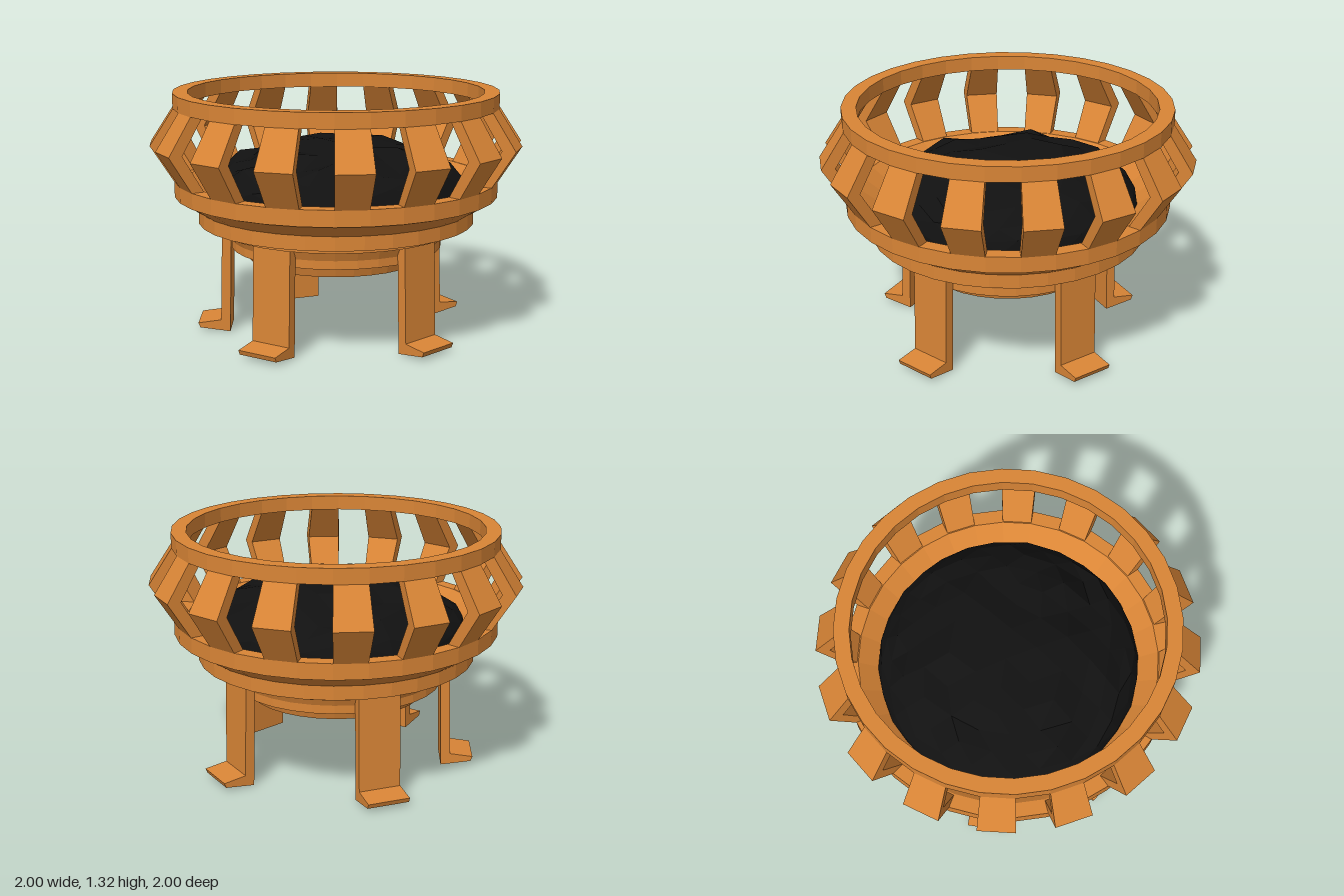
import * as THREE from 'three';

const SIDES = 32;
const STEP = (Math.PI * 2) / SIDES;
const points = (list) => list.map(([x, y]) => new THREE.Vector2(x, y));

export function createModel() {
  const model = new THREE.Group();
  model.name = 'fireBowl';
  const copper = new THREE.MeshStandardMaterial({ color: 0xd98536, flatShading: true });
  const black = new THREE.MeshStandardMaterial({ color: 0x111111, flatShading: true });

  const add = (name, geometry, material = copper) => {
    const mesh = new THREE.Mesh(geometry, material);
    mesh.name = name;
    model.add(mesh);
    return mesh;
  };
  const turned = (profile) => new THREE.LatheGeometry(points(profile), SIDES);

  // Stepped bowl: up the outside, then down the inside
  add('bowl', turned([
    [0, 0.32], [0.31, 0.37], [0.48, 0.41], [0.5, 0.475], [0.575, 0.475], [0.575, 0.52],
    [0.6, 0.58], [0.66, 0.58], [0.66, 0.615], [0.75, 0.615], [0.75, 0.69], [0.865, 0.765],
    [0.875, 0.765], [0.875, 0.85], [0.8, 0.85], [0.68, 0.76], [0.5, 0.6], [0, 0.5],
  ]));

  // Upper rim band
  add('rim', turned([
    [0.795, 1.24], [0.875, 1.24], [0.875, 1.32], [0.795, 1.32], [0.795, 1.24],
  ]));

  // Bent ribs, each filling every second side of the ring
  const ribShape = new THREE.Shape(points([
    [0.8, 0.84], [0.87, 0.84], [1, 1.045], [0.87, 1.245], [0.8, 1.245], [0.925, 1.045],
  ]));
  for (let i = 0; i < SIDES; i += 2) {
    const rib = new THREE.ExtrudeGeometry(ribShape, { depth: 1, bevelEnabled: false });
    const pos = rib.attributes.position;
    for (let v = 0; v < pos.count; v++) {
      const r = pos.getX(v);
      const angle = (i + 1 - pos.getZ(v)) * STEP;
      pos.setXYZ(v, r * Math.sin(angle), pos.getY(v), r * Math.cos(angle));
    }
    rib.computeVertexNormals();
    add('rib', rib);
  }

  // Flat legs with turned-out feet, unevenly spaced
  const legShape = new THREE.Shape(points([
    [0.565, 0.6], [0.58, 0], [0.745, 0.022], [0.755, 0.048], [0.63, 0.065], [0.615, 0.6],
  ]));
  const legGeometry = new THREE.ExtrudeGeometry(legShape, { depth: 0.23, bevelEnabled: false });
  legGeometry.translate(0, 0, -0.115);
  for (const degrees of [180, 122, 45, -32, -112]) {
    add('leg', legGeometry).rotation.y = -THREE.MathUtils.degToRad(degrees);
  }

  // Rough heap of coal: a dome with repeatable bumps
  const noise = (x, y, z) => {
    const s = Math.sin(Math.round(x * 500) * 12.99 + Math.round(y * 500) * 4.14 + Math.round(z * 500) * 78.23) * 43758.5;
    return s - Math.floor(s) - 0.5;
  };
  const coal = new THREE.IcosahedronGeometry(1, 4);
  const pos = coal.attributes.position;
  for (let v = 0; v < pos.count; v++) {
    const x = pos.getX(v), y = pos.getY(v), z = pos.getZ(v);
    const bump = y > 0 ? noise(x, y, z) * 0.06 * Math.min(1, y * 2) : 0;
    pos.setXYZ(v, x * 0.7, 0.78 + y * (y > 0 ? 0.26 : 0.03) + bump, z * 0.7);
  }
  coal.computeVertexNormals();
  add('coal', coal, black);

  return model;
}
